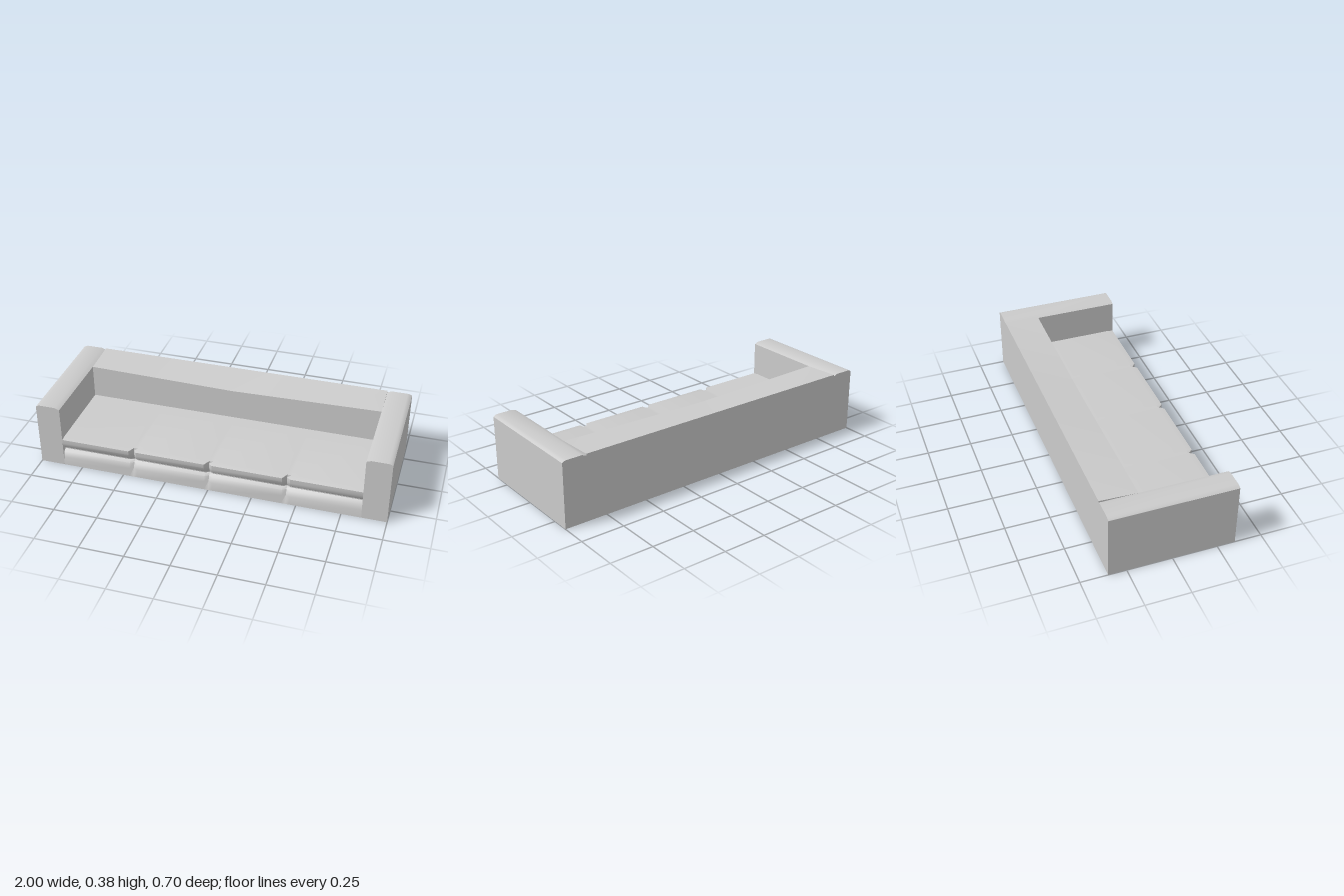
import * as THREE from 'three';
import { toCreasedNormals } from 'three/addons/utils/BufferGeometryUtils.js';

const HALF_DEPTH = 0.35, BACK_FRONT = -0.14, ARM_INNER = 0.86;

function part(name, geometry, material) {
  const mesh = new THREE.Mesh(geometry, material);
  mesh.name = name;
  return mesh;
}

// Arm: bevelled section running front to back
function armGeometry(side) {
  const points = [[ARM_INNER, 0], [1, 0], [1, 0.37], [0.99, 0.377], [0.975, 0.38], [0.885, 0.38], [ARM_INNER, 0.37]];
  const shape = new THREE.Shape(points.map(([x, y]) => new THREE.Vector2(side * x, y)));
  const geometry = new THREE.ExtrudeGeometry(shape, { depth: 2 * HALF_DEPTH, bevelEnabled: false });
  geometry.translate(0, 0, -HALF_DEPTH);
  return toCreasedNormals(geometry, 0.55);
}

// Backrest: a block whose front top edge sags towards the middle
function backGeometry() {
  const depth = HALF_DEPTH + BACK_FRONT;
  const geometry = new THREE.BoxGeometry(2 * ARM_INNER, 0.38, depth, 8, 1, 1);
  geometry.translate(0, 0.19, -HALF_DEPTH + depth / 2);
  const p = geometry.attributes.position;
  for (let i = 0; i < p.count; i++) {
    if (p.getY(i) > 0.3 && p.getZ(i) > -0.2) {
      p.setY(i, 0.352 + 0.018 * Math.abs(p.getX(i)) / ARM_INNER);
    }
  }
  return toCreasedNormals(geometry, 0.5);
}

// Seat: one section repeated across the width and pinched in at the seams
function seatGeometry() {
  // z, y, seam inset, seam dip
  const section = [
    [BACK_FRONT, 0.174, 0, 0], [0.315, 0.174, 0, 0], [0.35, 0.17, 0.032, 0.012],
    [0.349, 0.145, 0.028, 0.004], [0.339, 0.118, 0.022, 0], [0.318, 0.1, 0.012, 0],
    [0.318, 0.094, 0.012, 0], [0.337, 0.082, 0.016, 0], [0.347, 0.05, 0.012, 0],
    [0.35, 0, 0, 0], [BACK_FRONT, 0, 0, 0],
  ];
  const columns = [[-ARM_INNER, 0]];
  for (const seam of [-0.44, 0, 0.44]) columns.push([seam - 0.022, 0], [seam, 1], [seam + 0.022, 0]);
  columns.push([ARM_INNER, 0]);

  const positions = [], index = [], n = section.length;
  for (const [x, pinch] of columns) {
    for (const [z, y, inset, dip] of section) positions.push(x, y - pinch * dip, z - pinch * inset);
  }
  for (let c = 0; c < columns.length - 1; c++) {
    for (let r = 0; r < n; r++) {
      const a = c * n + r, b = c * n + (r + 1) % n;
      index.push(a, b, a + n, b, b + n, a + n);
    }
  }
  const geometry = new THREE.BufferGeometry();
  geometry.setAttribute('position', new THREE.Float32BufferAttribute(positions, 3));
  geometry.setIndex(index);
  return toCreasedNormals(geometry, 0.85);
}

export function createModel() {
  const sofa = new THREE.Group();
  sofa.name = 'sofa';
  const fabric = new THREE.MeshStandardMaterial({ color: 0xcccccc });
  sofa.add(
    part('leftArm', armGeometry(1), fabric),
    part('rightArm', armGeometry(-1), fabric),
    part('backrest', backGeometry(), fabric),
    part('seatCushions', seatGeometry(), fabric),
  );
  return sofa;
}
